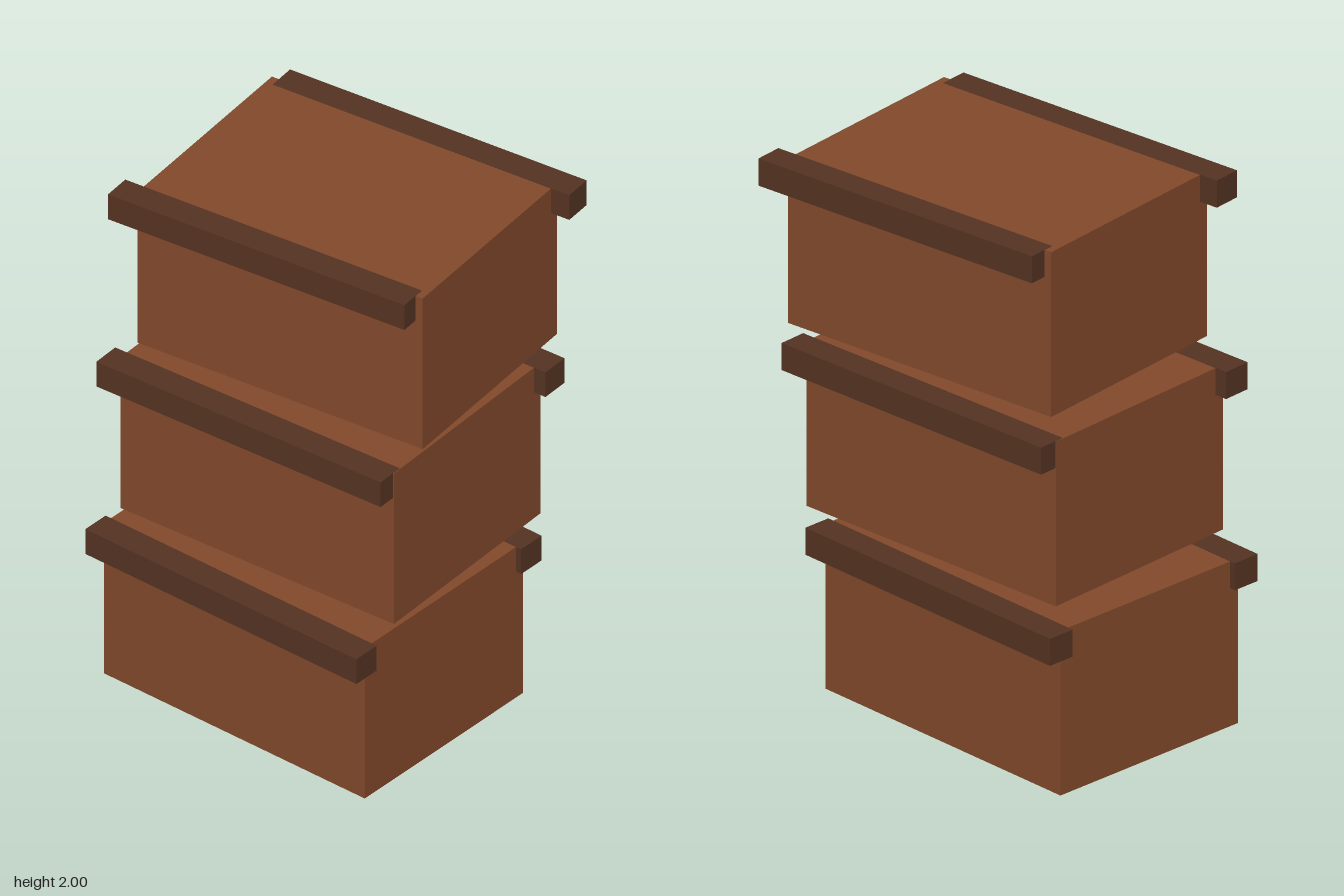
import * as THREE from 'three';

// Box and rail dimensions
const BOX = { w: 1.14, h: 0.609, d: 0.815 };
const RAIL = { w: 1.185, h: 0.1, d: 0.105, offset: 0.425 };
const PITCH = 0.695;

// Position and twist of each level, bottom to top
const LEVELS = [
  { name: 'bottomCrate', x: -0.054, z: 0.076, turn: 0 },
  { name: 'middleCrate', x: -0.014, z: 0.036, turn: 0.06 },
  { name: 'topCrate', x: 0.026, z: -0.004, turn: 0.12 },
];

export function createModel() {
  const wood = new THREE.MeshStandardMaterial({ color: 0x82492b });
  wood.name = 'brown wood';
  const darkWood = new THREE.MeshStandardMaterial({ color: 0x553322 });
  darkWood.name = 'dark wood';

  const boxGeometry = new THREE.BoxGeometry(BOX.w, BOX.h, BOX.d);
  const railGeometry = new THREE.BoxGeometry(RAIL.w, RAIL.h, RAIL.d);

  const model = new THREE.Group();
  model.name = 'crateStack';

  LEVELS.forEach(({ name, x, z, turn }, i) => {
    const crate = new THREE.Group();
    crate.name = name;
    crate.position.set(x, i * PITCH, z);

    const addPart = (partName, geometry, material, y, dz) => {
      const mesh = new THREE.Mesh(geometry, material);
      mesh.name = partName;
      mesh.position.set(0, y, dz);
      mesh.rotation.y = turn;
      crate.add(mesh);
    };

    // Solid body
    addPart('body', boxGeometry, wood, BOX.h / 2, 0);
    // Rails along the upper front and back edges, a hair above the body top
    const railY = 0.61 - RAIL.h / 2;
    addPart('frontRail', railGeometry, darkWood, railY, RAIL.offset);
    addPart('backRail', railGeometry, darkWood, railY, -RAIL.offset);

    model.add(crate);
  });

  return model;
}
